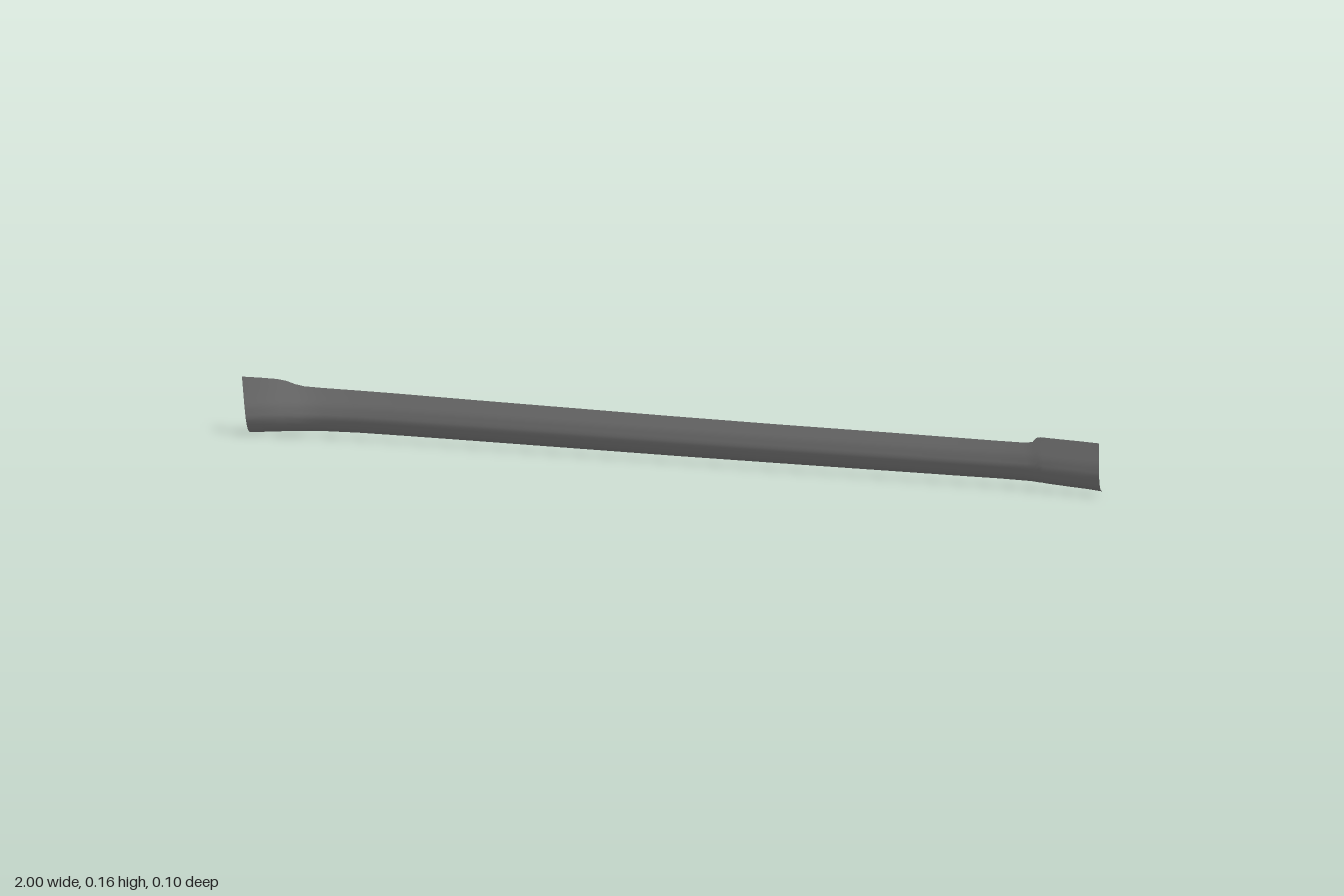
import * as THREE from 'three';

// Stations along the strip: x, lower edge y, lower edge z, upper edge y
const stations = [
  [-1, 0, -0.026, 0.155], [-0.96, 0.004, -0.027, 0.155], [-0.92, 0.007, -0.031, 0.153],
  [-0.9, 0.008, -0.034, 0.149], [-0.88, 0.009, -0.036, 0.141], [-0.86, 0.010, -0.039, 0.136],
  [-0.82, 0.011, -0.042, 0.134], [-0.75, 0.012, -0.045, 0.133], [-0.65, 0.012, -0.047, 0.132],
  [-0.5, 0.012, -0.048, 0.130], [-0.25, 0.012, -0.048, 0.128], [0, 0.012, -0.048, 0.126],
  [0.25, 0.013, -0.048, 0.125], [0.5, 0.014, -0.049, 0.125], [0.65, 0.015, -0.048, 0.125],
  [0.75, 0.016, -0.047, 0.125], [0.82, 0.016, -0.045, 0.126], [0.84, 0.015, -0.043, 0.130],
  [0.85, 0.015, -0.042, 0.142], [0.86, 0.014, -0.041, 0.145], [0.92, 0.012, -0.036, 0.145],
  [0.96, 0.011, -0.033, 0.145], [1, 0.009, -0.029, 0.145],
];

// Cross-section: forward sweep for a given height above the lower edge
const section = [[0, 0], [0.01, 0.018], [0.018, 0.025], [0.027, 0.031], [0.045, 0.041],
  [0.075, 0.052], [0.112, 0.063], [0.155, 0.076]];

function sweep(h) {
  let i = 1;
  while (i < section.length - 1 && h > section[i][0]) i++;
  const [h0, z0] = section[i - 1], [h1, z1] = section[i];
  return z0 + (z1 - z0) * (h - h0) / (h1 - h0);
}

export function createModel() {
  const rows = 16, cols = stations.length;
  const geometry = new THREE.PlaneGeometry(1, 1, cols - 1, rows);
  const position = geometry.attributes.position;

  // Bend the flat sheet; rows bunch up towards the curled lower edge
  for (let i = 0; i < position.count; i++) {
    const [x, bottom, z, top] = stations[i % cols];
    const t = (1 - Math.floor(i / cols) / rows) ** 1.5;
    const h = t * (top - bottom);
    // The +x end is cut at a slight slant
    const slant = Math.max(0, (x - 0.9) / 0.1) * 0.01 * (1 - t);
    position.setXYZ(i, x - slant, bottom + h, z + sweep(h));
  }
  geometry.computeVertexNormals();

  const strip = new THREE.Mesh(geometry,
    new THREE.MeshStandardMaterial({ color: 0x9a9a9a, side: THREE.DoubleSide }));
  strip.name = 'curvedTrimStrip';
  const group = new THREE.Group();
  group.name = 'trimPanel';
  group.add(strip);
  return group;
}
